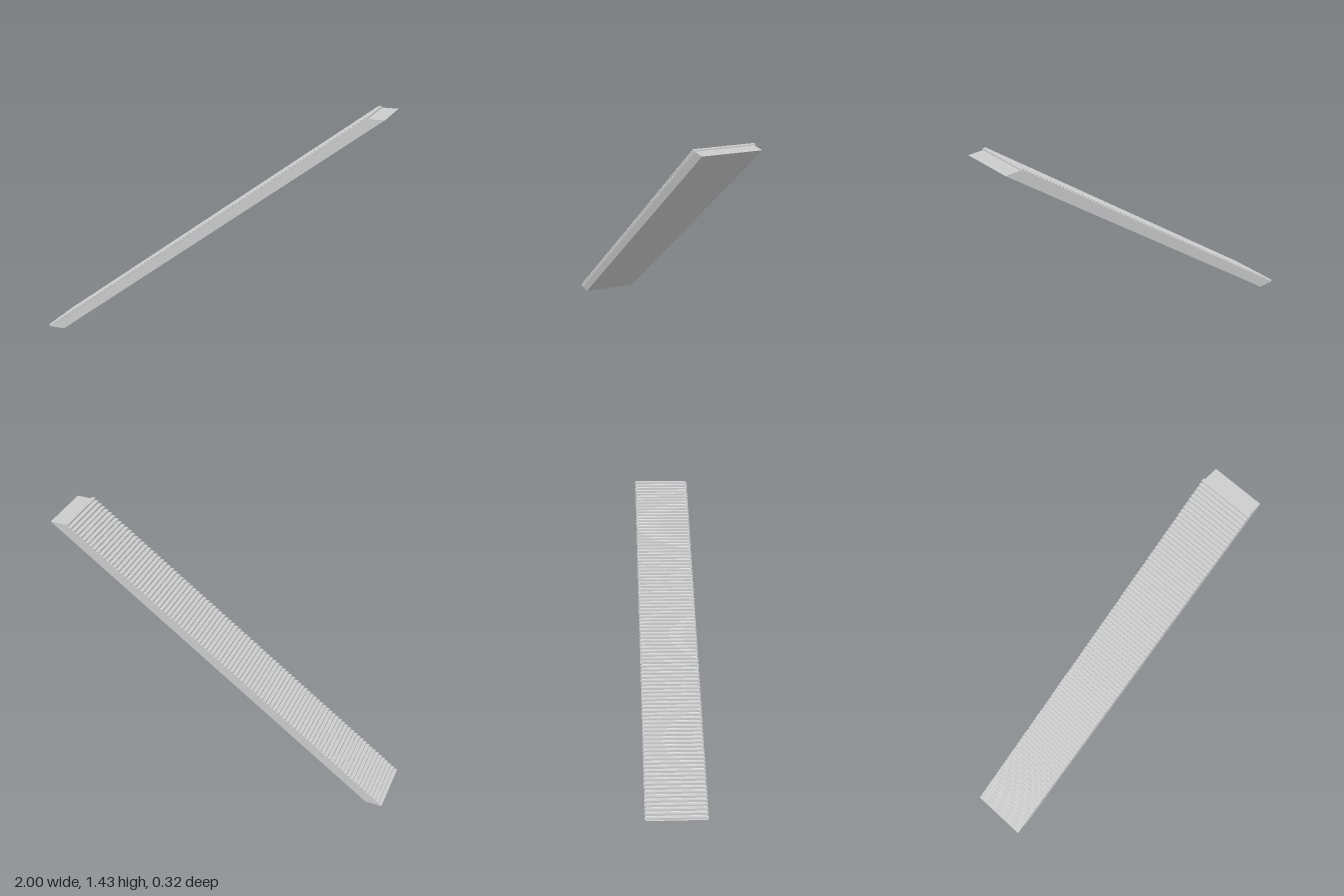
import * as THREE from 'three';

const STEPS = 96;
const RUN = 1.89 / (STEPS - 1);
const RISE = 1.419 / (STEPS - 1);

export function createModel() {
  const group = new THREE.Group();
  group.name = 'staircase';
  const material = new THREE.MeshStandardMaterial({ color: 0xcccccc, flatShading: true });

  // Sloping solid body with a level foot and a level top landing
  const depth = 0.312;
  const profile = new THREE.Shape([
    new THREE.Vector2(-0.998, 0),
    new THREE.Vector2(-0.904, 0),
    new THREE.Vector2(1, 1.427),
    new THREE.Vector2(0.902, 1.427),
  ]);
  const bodyGeometry = new THREE.ExtrudeGeometry(profile, { depth, bevelEnabled: false });
  bodyGeometry.translate(0, 0, -depth / 2);
  const body = new THREE.Mesh(bodyGeometry, material);
  body.name = 'slopingBody';
  group.add(body);

  // Thin treads, slightly wider than the body
  const treads = new THREE.Group();
  treads.name = 'treads';
  const thickness = 0.011;
  const treadGeometry = new THREE.BoxGeometry(RUN, thickness, 0.324);
  for (let i = 0; i < STEPS; i++) {
    const tread = new THREE.Mesh(treadGeometry, material);
    tread.name = `tread${i + 1}`;
    tread.position.set(-1 + (i + 0.5) * RUN, 0.015 + i * RISE - thickness / 2, 0);
    treads.add(tread);
  }
  group.add(treads);
  return group;
}
